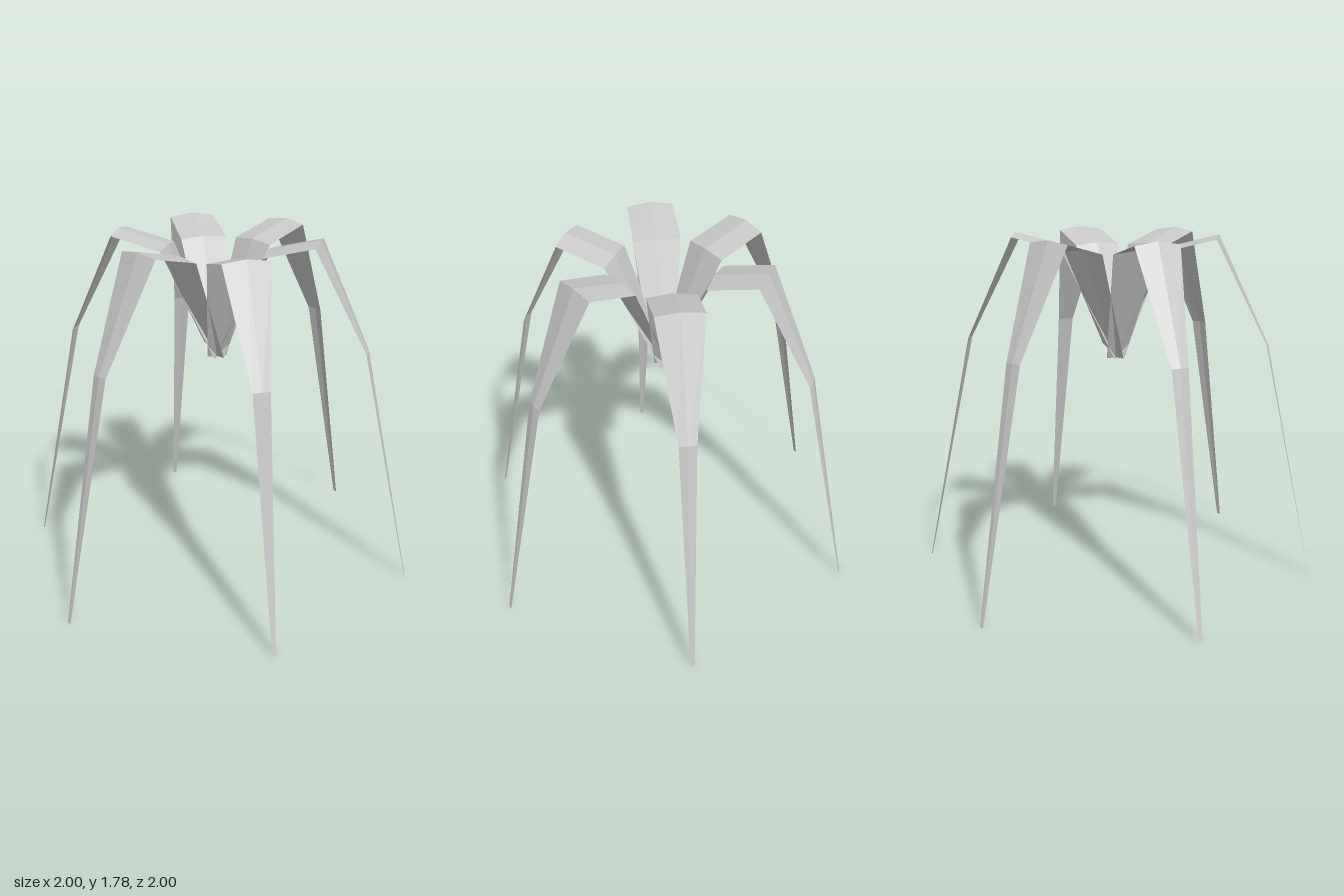
import * as THREE from 'three';

// Cross-sections of one arching leaf: distance out, edge height, half width, midrib offset out and up
const SECTIONS = [
  [0.0, 1.14, 0.05, 0.0, 0.0],
  [0.26, 1.70, 0.12, -0.005, 0.013],
  [0.515, 1.763, 0.118, 0.006, 0.017],
  [0.775, 1.228, 0.043, 0.006, 0.002],
  [1.032, 0.0, 0.01, 0.0, 0.0],
];

// A strip two facets wide, folded along its midrib
function leafGeometry() {
  const geometry = new THREE.PlaneGeometry(2, 1, 2, SECTIONS.length - 1);
  const position = geometry.attributes.position;
  SECTIONS.forEach(([out, height, half, ribOut, ribUp], row) => {
    for (let side = -1; side <= 1; side++) {
      const rib = side === 0 ? 1 : 0;
      position.setXYZ(row * 3 + side + 1, out + rib * ribOut, height + rib * ribUp, -side * half);
    }
  });
  const flat = geometry.toNonIndexed();
  flat.computeVertexNormals();
  return flat;
}

export function createModel() {
  const plant = new THREE.Group();
  plant.name = 'droopingPlant';
  const leafGrey = new THREE.MeshStandardMaterial({ color: 0xc8c8c8, side: THREE.DoubleSide, flatShading: true });
  leafGrey.name = 'leafGrey';

  // Six equal leaves around the centre
  const geometry = leafGeometry();
  for (let i = 0; i < 6; i++) {
    const leaf = new THREE.Mesh(geometry, leafGrey);
    leaf.name = `leaf${i + 1}`;
    leaf.rotation.y = THREE.MathUtils.degToRad(15 + i * 60);
    plant.add(leaf);
  }
  return plant;
}
